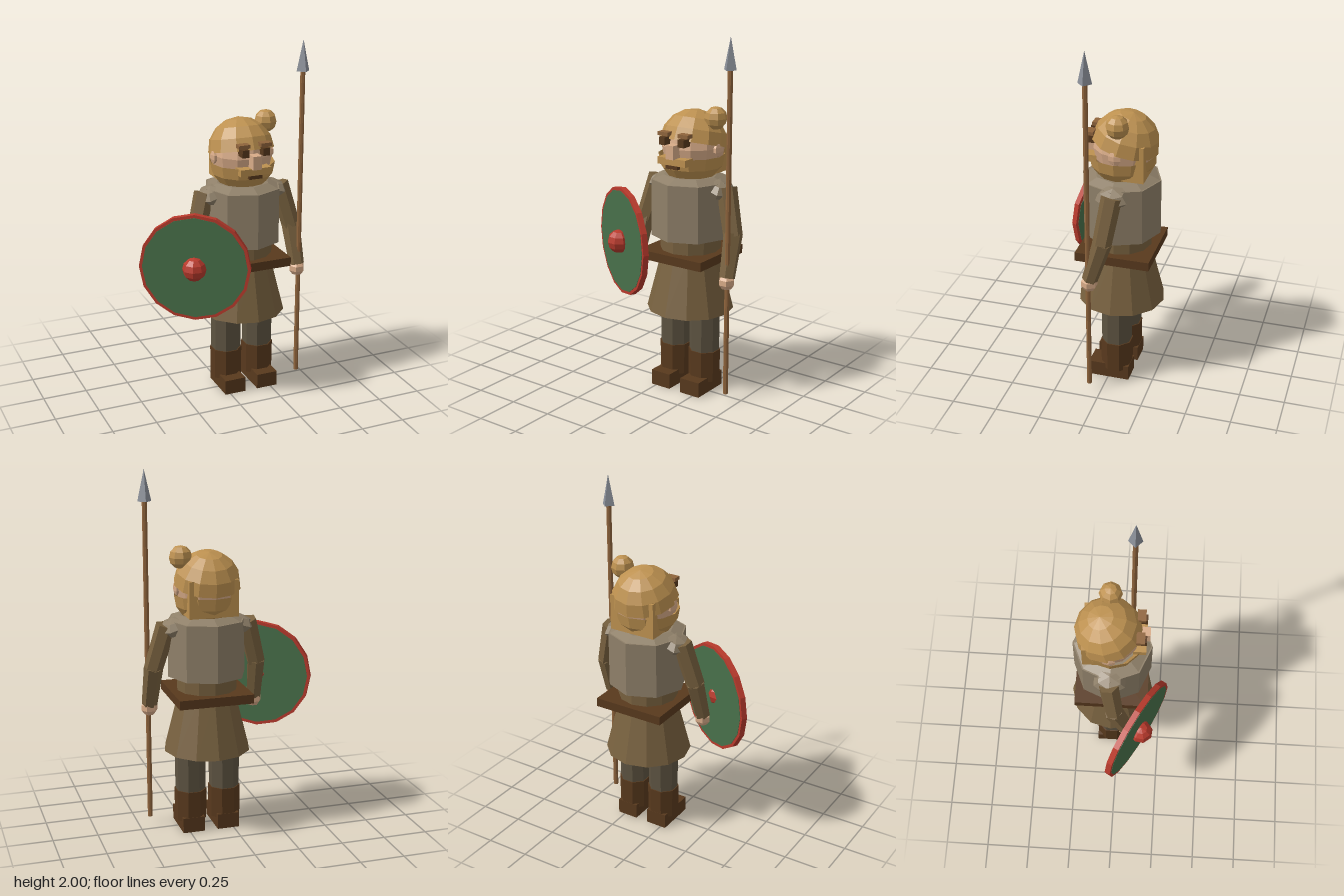
import * as THREE from 'three';

const mat = (name, color, side = THREE.FrontSide) => {
  const m = new THREE.MeshStandardMaterial({ color, side });
  m.name = name;
  return m;
};

export function createModel() {
  const gold = mat('gold hair', 0xbd9150, THREE.DoubleSide);
  const skin = mat('skin', 0xd8ab88);
  const armour = mat('grey armour', 0x8f8069);
  const cloth = mat('brown cloth', 0x78613f);
  const leather = mat('dark leather', 0x58391d);
  const trousers = mat('trousers', 0x5d5341);
  const green = mat('shield green', 0x48704a);
  const red = mat('shield red', 0xb83a2c);
  const steel = mat('steel', 0x8b9099);
  const wood = mat('wood', 0x8f643c);

  const model = new THREE.Group();
  model.name = 'spearGuard';
  const CX = 0.13, CZ = -0.036; // body axis

  // Adds a mesh with faceted normals
  const add = (name, geo, material, x = 0, y = 0, z = 0, parent = model) => {
    const g = geo.index ? geo.toNonIndexed() : geo;
    g.computeVertexNormals();
    const mesh = new THREE.Mesh(g, material);
    mesh.name = name;
    mesh.position.set(x, y, z);
    parent.add(mesh);
    return mesh;
  };
  const box = (w, h, d) => new THREE.BoxGeometry(w, h, d);
  const cyl = (top, bottom, h, n) => new THREE.CylinderGeometry(top, bottom, h, n);
  const ball = (r, n, m) => new THREE.SphereGeometry(r, n, m);

  // Tapered rod between two points
  const rod = (name, a, b, ra, rb, n, material) => {
    const dir = b.clone().sub(a);
    const mid = a.clone().add(b).multiplyScalar(0.5);
    const mesh = add(name, cyl(rb, ra, dir.length(), n), material, mid.x, mid.y, mid.z);
    mesh.quaternion.setFromUnitVectors(new THREE.Vector3(0, 1, 0), dir.normalize());
  };

  // Torso and clothing
  add('skirt', cyl(0.155, 0.24, 0.335, 12), cloth, CX, 0.6325, CZ);
  add('waist', cyl(0.168, 0.165, 0.15, 12), cloth, CX, 0.83, CZ);
  add('belt', box(0.413, 0.05, 0.411), leather, CX, 0.785, CZ);
  add('chestArmour', cyl(0.217, 0.217, 0.312, 8), armour, CX, 1.046, CZ);
  add('collar', cyl(0.15, 0.21, 0.025, 8), armour, CX, 1.214, CZ);
  add('neck', cyl(0.085, 0.085, 0.12, 8), skin, CX, 1.24, CZ);

  // Limbs, mirrored about the body axis
  for (const s of [-1, 1]) {
    const side = s > 0 ? 'left' : 'right';
    const at = (x, y, z) => new THREE.Vector3(CX + s * x, y, z);

    const lx = CX + s * 0.0975;
    const leg = cyl(0.086, 0.084, 0.4, 8).rotateY(Math.PI / 8);
    add(side + 'Leg', leg, trousers, lx, 0.38, CZ);
    const boot = cyl(0.09, 0.088, 0.175, 8).rotateY(Math.PI / 8);
    add(side + 'Boot', boot, leather, lx, 0.1475, CZ);
    add(side + 'Shoe', box(0.123, 0.086, 0.23), leather, CX + s * 0.099, 0.043, -0.004);

    const shoulder = at(0.225, 1.18, -0.045), elbow = at(0.293, 0.93, -0.01);
    const wrist = at(0.301, 0.715, 0.055);
    rod(side + 'UpperArm', shoulder, elbow, 0.056, 0.052, 6, cloth);
    rod(side + 'Forearm', at(0.291, 0.945, -0.015), wrist, 0.053, 0.043, 6, cloth);
    add(side + 'Hand', ball(0.047, 6, 5), skin, CX + s * 0.301, 0.695, 0.058);

    const pad = add(side + 'ShoulderPad', ball(0.1, 6, 4), armour, CX + s * 0.175, 1.168, -0.04);
    pad.scale.set(1.02, 0.5, 0.98);
    pad.rotation.z = -s * 0.3;

    // Face details
    add(side + 'Ear', ball(0.04, 6, 5), skin, CX + s * 0.168, 1.378, -0.045).scale.x = 0.4;
    add(side + 'Eye', box(0.038, 0.042, 0.065), leather, CX + s * 0.061, 1.43, 0.115);
    add(side + 'Brow', box(0.064, 0.02, 0.045), wood, CX + s * 0.064, 1.466, 0.115);
  }

  // Head
  const HZ = -0.055;
  add('head', ball(0.172, 12, 8), skin, CX, 1.385, HZ);
  add('nose', box(0.05, 0.075, 0.08), skin, CX, 1.378, 0.125);
  add('moustache', box(0.18, 0.038, 0.07), gold, CX, 1.324, 0.112);
  add('mouth', box(0.075, 0.02, 0.05), leather, CX, 1.294, 0.12);
  const beard = [[0, 1.222], [0.13, 1.222], [0.168, 1.275], [0.18, 1.34]]
    .map(([r, y]) => new THREE.Vector2(r, y));
  add('beard', new THREE.LatheGeometry(beard, 12), gold, CX, 0, -0.04);

  // Hair cap tipped backwards, back hair and side bun
  const cap = new THREE.SphereGeometry(0.183, 12, 4, 0, Math.PI * 2, 0, Math.PI / 2);
  add('hairCap', cap, gold, CX, 1.395, HZ).rotation.x = -0.25;
  add('backHair', box(0.27, 0.2, 0.12), gold, CX, 1.335, -0.13);
  add('hairBun', ball(0.063, 8, 6), gold, 0.275, 1.545, -0.053);

  // Spear
  add('spearShaft', cyl(0.014, 0.014, 1.78, 8), wood, 0.437, 0.94, 0.063);
  add('spearHead', new THREE.ConeGeometry(0.038, 0.17, 4), steel, 0.437, 1.915, 0.063);

  // Round shield, turned outwards
  const shield = new THREE.Group();
  shield.name = 'shield';
  shield.position.set(-0.215, 0.82, 0.118);
  shield.rotation.y = -0.507;
  model.add(shield);
  const disc = (r, h) => cyl(r, r, h, 16).rotateX(Math.PI / 2);
  add('shieldRim', disc(0.305, 0.032), red, 0, 0, 0, shield);
  add('shieldFace', disc(0.288, 0.036), green, 0, 0, 0, shield);
  add('shieldBoss', ball(0.066, 8, 6), red, 0, 0, 0.03, shield);

  return model;
}
